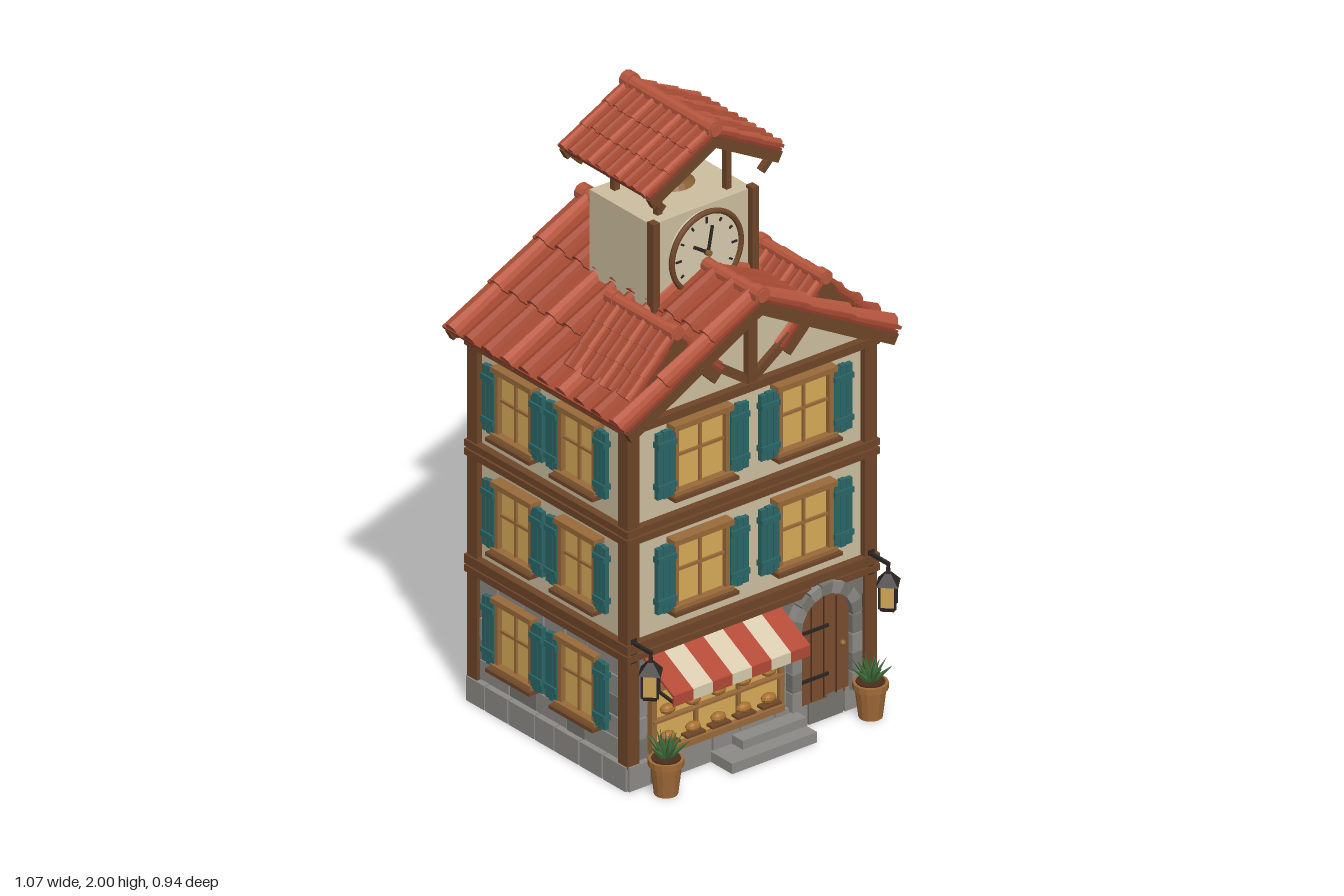
import * as THREE from 'three';

const mat = (color) => new THREE.MeshStandardMaterial({ color, flatShading: true, side: THREE.DoubleSide });
const M = {
  wall: mat(0xcdbf9f), stone: mat(0x8d8b86), stoneDark: mat(0x77756f), wood: mat(0x6f4629), darkWood: mat(0x4a2e1c),
  frame: mat(0x9a6a3a), tile: mat(0xa64a33), tileDark: mat(0x8f3d2a), cap: mat(0xb8573e), shutter: mat(0x2b6668),
  glass: mat(0xd8ab58), cream: mat(0xd8cbae), red: mat(0xb34a35), door: mat(0x7a4c2e), iron: mat(0x2b2624),
  bronze: mat(0x8a6233), pot: mat(0xa06a38), leaf: mat(0x3f6b3a), bread: mat(0xa8702f),
};
let seed = 7;
const rnd = () => (seed = (seed * 16807) % 2147483647) / 2147483647;

function add(parent, name, geo, m, x = 0, y = 0, z = 0) {
  const mesh = new THREE.Mesh(geo, m);
  mesh.name = name;
  mesh.position.set(x, y, z);
  parent.add(mesh);
  return mesh;
}
const box = (p, name, m, w, h, d, x, y, z) => add(p, name, new THREE.BoxGeometry(w, h, d), m, x, y, z);
const cyl = (p, name, m, r1, r2, h, n, x, y, z) => add(p, name, new THREE.CylinderGeometry(r1, r2, h, n), m, x, y, z);
function group(parent, name, x = 0, y = 0, z = 0, ry = 0) {
  const g = new THREE.Group();
  g.name = name;
  g.position.set(x, y, z);
  g.rotation.y = ry;
  parent.add(g);
  return g;
}
// beam between two points in a plane of constant z
function beam(p, name, x1, y1, x2, y2, w, d, z, m = M.wood) {
  const b = box(p, name, m, Math.hypot(x2 - x1, y2 - y1), w, d, (x1 + x2) / 2, (y1 + y2) / 2, z);
  b.rotation.z = Math.atan2(y2 - y1, x2 - x1);
}
function extrude(p, name, pts, depth, m, z) {
  const shape = new THREE.Shape(pts.map(([x, y]) => new THREE.Vector2(x, y)));
  return add(p, name, new THREE.ExtrudeGeometry(shape, { depth, bevelEnabled: false }), m, 0, 0, z);
}

// window with cross bars, sill, lintel and two shutters
function addWindow(parent, x, y, w, sw) {
  const g = group(parent, 'window', x, y, 0), h = 0.22;
  box(g, 'pane', M.glass, w, h, 0.012, 0, 0, 0.008);
  for (const s of [-1, 1]) {
    box(g, 'frameSide', M.frame, 0.016, h, 0.03, s * (w / 2 - 0.004), 0, 0.015);
    box(g, 'frameRail', M.frame, w + 0.025, 0.018, 0.04, 0, s * (h / 2), 0.02);
    const sh = group(g, 'shutter', s * (w / 2 + sw / 2 + 0.003), 0, 0.026);
    for (let i = -1; i <= 1; i++) box(sh, 'plank', M.shutter, sw / 3 - 0.002, 0.222 - Math.abs(i) * 0.006, 0.016, i * sw / 3, 0, 0);
    for (const k of [-1, 1]) box(sh, 'batten', M.shutter, sw, 0.018, 0.028, 0, k * 0.07, 0);
  }
  box(g, 'mullion', M.frame, 0.009, h, 0.02, 0, 0, 0.012);
  box(g, 'crossbar', M.frame, w, 0.009, 0.02, 0, 0.01, 0.012);
  box(g, 'sill', M.wood, w + 0.04, 0.012, 0.055, 0, -h / 2 - 0.01, 0.025);
}

// gabled roof, ridge along z with its apex at the group origin
function tiledRoof(parent, name, x, y, z, half, rise, len, cols, courses, capR) {
  const g = group(parent, name, x, y, z);
  const L = Math.hypot(half, rise), a = Math.atan2(rise, half), pitch = len / cols, cl = L / courses;
  for (const ry of [0, Math.PI]) {
    const side = group(g, 'roofSide', 0, 0, 0, ry);
    const slope = group(side, 'slope');
    slope.rotation.z = -a;
    box(slope, 'roofDeck', M.tileDark, L, 0.016, len, L / 2, -0.008, 0);
    for (let c = 0; c < courses; c++) {
      const step = box(slope, 'panTiles', M.tile, cl * 1.04, 0.01, len, (c + 0.52) * cl, 0.006, 0);
      step.rotation.z = 0.04;
      for (let i = 0; i < cols; i++) {
        const t = cyl(slope, 'barrelTile', i % 3 ? M.tile : M.cap, pitch * 0.26, pitch * 0.33, cl * 1.06, 8,
          (c + 0.5) * cl + (rnd() - 0.5) * 0.008, 0.009, -len / 2 + (i + 0.5) * pitch);
        t.rotation.z = Math.PI / 2 + 0.03;
      }
    }
    for (const s of [-1, 1]) box(slope, 'bargeBoard', M.wood, L + 0.01, 0.036, 0.02, L / 2, -0.026, s * (len / 2 - 0.008));
    const n = Math.round(len / 0.085);
    for (let i = 0; i < n; i++) box(slope, 'rafterEnd', M.wood, 0.07, 0.022, 0.018, L - 0.045, -0.026, -len / 2 + (i + 0.5) * len / n);
  }
  const k = Math.max(3, Math.round(len / 0.11));
  for (let i = 0; i < k; i++) {
    const c = cyl(g, 'ridgeTile', M.cap, capR * 0.85, capR, len / k * 1.05, 10, 0, 0.008, -len / 2 + (i + 0.5) * len / k);
    c.rotation.x = Math.PI / 2;
  }
  for (const s of [-1, 1]) cyl(g, 'ridgeEnd', M.cap, capR * 1.15, capR * 1.15, 0.035, 10, 0, 0.01, s * (len / 2 - 0.018)).rotation.x = Math.PI / 2;
  return g;
}

export function createModel() {
  const root = new THREE.Group();
  root.name = 'clockTowerShop';
  const zc = -0.045, W = 0.45, D = 0.355;
  const house = group(root, 'house', 0, 0, zc);

  // body and plinth
  box(house, 'plinth', M.stoneDark, 0.93, 0.07, 0.74, 0, 0.035, 0);
  box(house, 'groundFloor', M.stoneDark, 2 * W, 0.38, 2 * D, 0, 0.25, 0);
  box(house, 'upperWalls', M.wall, 2 * W, 0.78, 2 * D, 0, 0.82, 0);
  extrude(house, 'gableWall', [[-W, 1.19], [W, 1.19], [W, 1.222], [0, 1.468], [-W, 1.222]], 2 * D, M.wall, -D);
  for (const sx of [-1, 1]) for (const sz of [-1, 1])
    box(house, 'cornerPost', M.wood, 0.045, 1.13, 0.045, sx * (W - 0.003), 0.64, sz * (D - 0.003));

  // four facades: stone blocks, floor beams, windows
  [[0, W, D], [Math.PI / 2, D, W], [Math.PI, W, D], [-Math.PI / 2, D, W]].forEach(([ry, hw, hd], f) => {
    const dir = group(house, ['front', 'left', 'back', 'right'][f] + 'Facade', 0, 0, 0, ry);
    const p = group(dir, 'facadeParts', 0, 0, hd);
    for (let row = 0; row < 6; row++) {
      const plinth = row === 0, y0 = plinth ? 0 : 0.085 + (row - 1) * 0.069, h = plinth ? 0.08 : 0.064;
      const end = plinth ? hw + 0.02 : hw - 0.025;
      for (let x = -end; x < end - 0.01;) {
        let w = 0.085 + rnd() * 0.06;
        if (end - x - w < 0.06) w = end - x;
        box(p, 'stoneBlock', rnd() > 0.4 ? M.stone : M.stoneDark, w - 0.006, h, 0.03, x + w / 2, y0 + h / 2, plinth ? 0.01 : -0.006 + rnd() * 0.004);
        x += w;
      }
    }
    for (const [y, h] of [[0.437, 0.022], [0.468, 0.03], [0.823, 0.022], [0.852, 0.022], [1.19, 0.026]])
      box(p, 'floorBeam', M.wood, 2 * hw + 0.05, h, 0.04, 0, y, 0.006);
    const main = f % 2 === 0;
    for (const y of [0.28, 0.665, 1.045]) {
      if (f === 0 && y < 0.3) continue;
      for (const s of [-1, 1]) addWindow(p, s * (main ? 0.195 : 0.148), y, main ? 0.2 : 0.165, main ? 0.07 : 0.055);
    }
    // gable truss
    if (main) {
      box(p, 'kingPost', M.wood, 0.034, 0.27, 0.03, 0, 1.325, 0.008);
      for (const s of [-1, 1]) {
        beam(p, 'strut', 0, 1.205, s * 0.2, 1.345, 0.028, 0.025, 0.006);
        beam(p, 'principalRafter', 0, 1.45, s * W, 1.205, 0.03, 0.028, 0.007);
      }
    }
  });

  // main roof and dormers
  tiledRoof(root, 'mainRoof', 0, 1.5, zc, 0.51, 0.275, 0.85, 10, 3, 0.024);
  for (const s of [-1, 1]) {
    tiledRoof(root, 'dormerRoof', s * 0.28, 1.445, 0.17, 0.165, 0.165, 0.32, 8, 3, 0.021);
    const d = group(root, 'dormer', s * 0.28, 0, 0);
    extrude(d, 'dormerWall', [[-0.13, 1.25], [0.13, 1.25], [0.13, 1.29], [0, 1.42], [-0.13, 1.29]], 0.25, M.wall, 0.04);
    box(d, 'dormerPost', M.wood, 0.02, 0.15, 0.02, 0, 1.34, 0.295);
  }

  // clock tower
  const tower = group(root, 'tower', 0, 0, -0.05);
  box(tower, 'towerWalls', M.wall, 0.38, 0.45, 0.29, 0, 1.465, 0);
  for (const s of [-1, 1]) {
    box(tower, 'towerPost', M.wood, 0.024, 0.4, 0.03, s * 0.186, 1.5, 0.15);
    for (const z of [-0.1, 0.1]) box(tower, 'belfryPost', M.wood, 0.02, 0.2, 0.02, s * 0.13, 1.785, z);
    for (const z of [-0.19, 0.19]) {
      beam(tower, 'eaveBracket', s * 0.185, 1.765, s * 0.235, 1.815, 0.02, 0.02, z);
      beam(tower, 'eaveBeam', s * 0.17, 1.83, s * 0.24, 1.83, 0.016, 0.02, z);
    }
    box(tower, 'wallPlate', M.wood, 0.022, 0.02, 0.39, s * 0.13, 1.872, 0);
  }
  const clock = group(tower, 'clock', 0, 1.548, 0.15);
  cyl(clock, 'clockFace', M.cream, 0.128, 0.128, 0.02, 40, 0, 0, 0.005).rotation.x = Math.PI / 2;
  add(clock, 'clockRim', new THREE.TorusGeometry(0.13, 0.009, 8, 48), M.wood, 0, 0, 0.016);
  for (let i = 0; i < 12; i++) {
    const t = i * Math.PI / 6;
    box(clock, 'hourMark', M.iron, 0.006, i % 3 ? 0.012 : 0.02, 0.006, Math.sin(t) * 0.105, Math.cos(t) * 0.105, 0.016).rotation.z = -t;
  }
  beam(clock, 'hourHand', 0, 0, -0.05, 0.032, 0.01, 0.006, 0.02, M.iron);
  beam(clock, 'minuteHand', 0, 0, 0.016, 0.085, 0.008, 0.006, 0.024, M.iron);
  cyl(clock, 'clockHub', M.bronze, 0.01, 0.01, 0.03, 12, 0, 0, 0.018).rotation.x = Math.PI / 2;
  const bell = [[0, 0.085], [0.03, 0.083], [0.04, 0.07], [0.046, 0.04], [0.058, 0.015], [0.072, 0], [0.062, 0], [0.035, 0.06], [0, 0.07]];
  add(tower, 'bell', new THREE.LatheGeometry(bell.map(([r, y]) => new THREE.Vector2(r, y)), 20), M.bronze, 0, 1.715, 0);
  cyl(tower, 'bellHanger', M.iron, 0.008, 0.008, 0.08, 8, 0, 1.835, 0);
  box(tower, 'bellBeam', M.wood, 0.28, 0.022, 0.022, 0, 1.872, 0);
  tiledRoof(root, 'belfryRoof', 0, 1.96, -0.05, 0.25, 0.135, 0.42, 10, 3, 0.024);

  // shop front
  const shop = group(root, 'shopFront', -0.138, 0, 0.31);
  box(shop, 'shopPane', M.glass, 0.47, 0.23, 0.03, 0, 0.215, 0.005);
  for (const y of [0.098, 0.205, 0.315]) box(shop, 'shopRail', M.frame, 0.49, y === 0.205 ? 0.008 : 0.02, 0.05, 0, y, 0.015);
  for (const x of [-0.24, -0.08, 0.08, 0.24]) box(shop, 'shopMullion', M.frame, Math.abs(x) > 0.2 ? 0.018 : 0.01, 0.23, 0.04, x, 0.215, 0.012);
  for (const y of [0.145, 0.235]) for (let i = 0; i < 5; i++) {
    add(shop, 'bread', new THREE.SphereGeometry(0.027, 10, 6), M.bread, -0.19 + i * 0.095, y, 0.032).scale.set(1, 0.6, 0.7);
    if (y < 0.2) box(shop, 'breadTray', M.wood, 0.07, 0.008, 0.04, -0.19 + i * 0.095, y - 0.02, 0.03);
  }
  // striped awning
  const awning = [[0, 0.425], [0.145, 0.35], [0.15, 0.348], [0.15, 0.312], [0.143, 0.312], [0.143, 0.342], [0, 0.414]];
  for (let i = 0; i < 7; i++) {
    const stripe = extrude(root, 'awningStripe', awning, 0.0735, i % 2 ? M.cream : M.red, 0);
    stripe.position.set(-0.4 + (i + 1) * 0.0735, 0, 0.31);
    stripe.rotation.y = -Math.PI / 2;
  }
  for (const x of [-0.395, 0.11]) {
    const arm = box(root, 'awningArm', M.iron, 0.008, 0.008, 0.13, x, 0.33, 0.39);
    arm.rotation.x = 0.12;
  }

  // arched door with stone surround
  const door = group(root, 'doorway', 0.265, 0, 0.31), r = 0.094, ay = 0.325;
  const leaf = new THREE.Shape();
  leaf.moveTo(-r, 0.07).lineTo(r, 0.07).lineTo(r, ay).absarc(0, ay, r, 0, Math.PI, false);
  add(door, 'doorLeaf', new THREE.ExtrudeGeometry(leaf, { depth: 0.025, bevelEnabled: false, curveSegments: 16 }), M.door);
  for (const x of [-0.047, 0, 0.047]) box(door, 'plankGap', M.darkWood, 0.004, 0.24 + Math.sqrt(r * r - x * x), 0.004, x, 0.075 + (0.24 + Math.sqrt(r * r - x * x)) / 2, 0.025);
  for (const y of [0.15, 0.31]) box(door, 'hingeStrap', M.iron, 0.1, 0.01, 0.006, -0.035, y, 0.028);
  add(door, 'doorKnob', new THREE.SphereGeometry(0.01, 10, 8), M.bronze, 0.066, 0.235, 0.032);
  for (let i = 0; i < 9; i++) {
    const t = (i + 0.5) * Math.PI / 9;
    box(door, 'archStone', i % 2 ? M.stone : M.stoneDark, 0.036, 0.041, 0.045, Math.cos(t) * 0.113, ay + Math.sin(t) * 0.113, 0.02).rotation.z = t;
  }
  for (const s of [-1, 1]) for (let i = 0; i < 4; i++)
    box(door, 'jambStone', i % 2 ? M.stoneDark : M.stone, 0.036, 0.06, 0.045, s * 0.113, 0.1 + i * 0.063, 0.02);
  box(root, 'lowerStep', M.stone, 0.32, 0.034, 0.12, 0, 0.017, 0.375);
  box(root, 'upperStep', M.stone, 0.24, 0.03, 0.07, 0.04, 0.048, 0.35);

  // lanterns and potted plants on both sides
  for (const s of [-1, 1]) {
    const lamp = group(root, 'lantern', s * 0.447, 0, 0.41);
    const sq = (name, m, r1, r2, h, y) => { cyl(lamp, name, m, r1, r2, h, 4, 0, y, 0); };
    sq('lanternBase', M.iron, 0.034, 0.028, 0.012, 0.343);
    sq('lanternGlass', M.glass, 0.036, 0.028, 0.075, 0.386);
    sq('lanternRoof', M.iron, 0.012, 0.047, 0.035, 0.44);
    sq('lanternFinial', M.iron, 0.006, 0.01, 0.03, 0.47);
    for (let i = 0; i < 4; i++) {
      const t = i * Math.PI / 2;
      cyl(lamp, 'lanternBar', M.iron, 0.004, 0.004, 0.078, 5, Math.sin(t) * 0.033, 0.386, Math.cos(t) * 0.033);
    }
    box(lamp, 'lanternArm', M.iron, 0.01, 0.01, 0.1, 0, 0.487, -0.045);
    box(lamp, 'lanternPlate', M.iron, 0.02, 0.08, 0.01, 0, 0.46, -0.082);

    const plant = group(root, 'pottedPlant', s * 0.385, 0, 0.405);
    cyl(plant, 'pot', M.pot, 0.048, 0.036, 0.1, 14, 0, 0.05, 0);
    cyl(plant, 'potRim', M.pot, 0.054, 0.054, 0.02, 14, 0, 0.105, 0);
    cyl(plant, 'soil', M.darkWood, 0.044, 0.044, 0.004, 14, 0, 0.117, 0);
    for (let i = 0; i < 20; i++) {
      const t = i * 2.4, lean = 0.15 + (i / 20) * 0.75, len = 0.1 - 0.02 * rnd();
      const blade = group(plant, 'leaf', 0, 0.112, 0, t);
      const c = add(blade, 'leafBlade', new THREE.ConeGeometry(0.012, len, 4), M.leaf, Math.sin(lean) * len / 2, Math.cos(lean) * len / 2, 0);
      c.scale.z = 0.6;
      c.rotation.z = -lean;
    }
  }
  return root;
}
